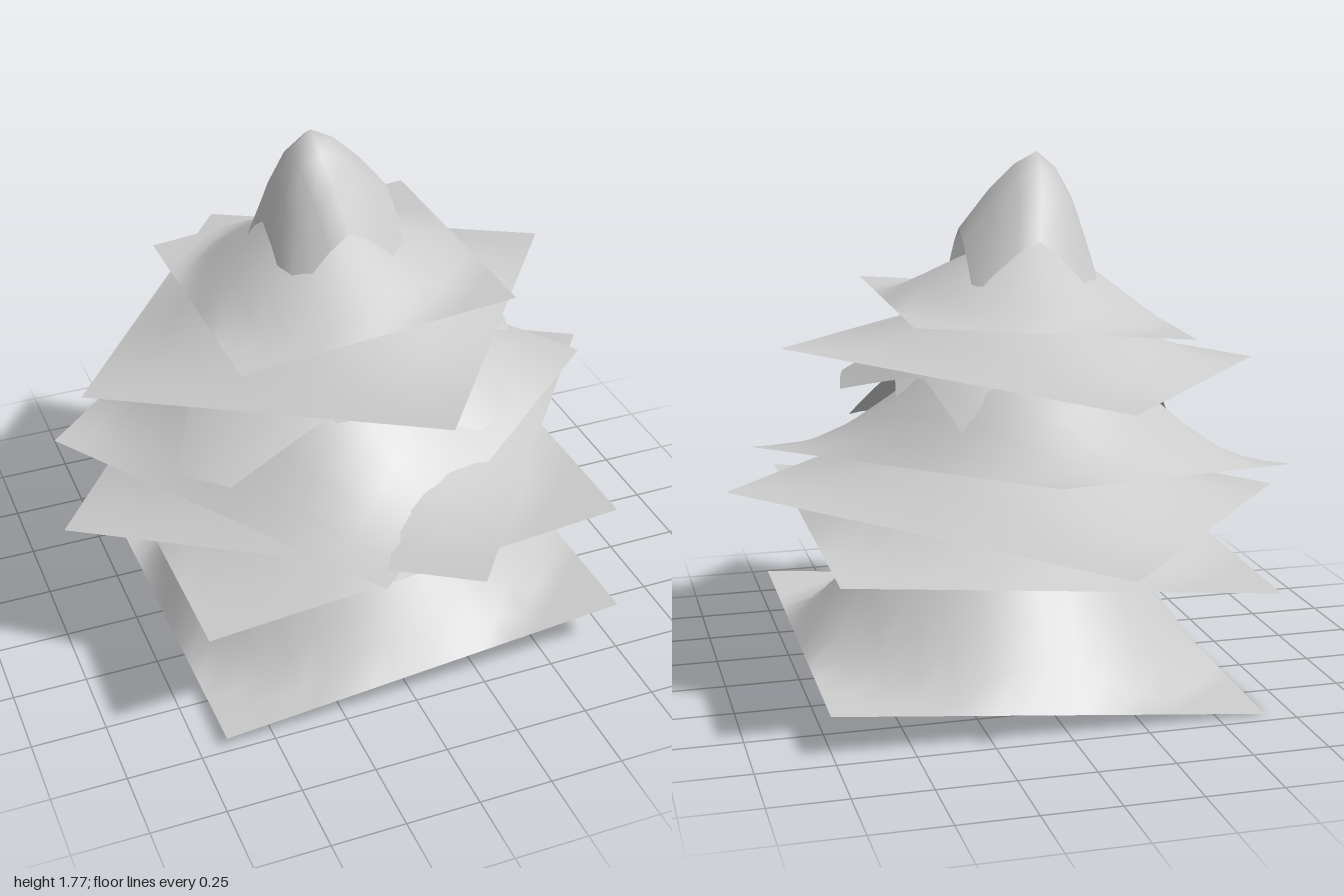
import * as THREE from 'three';

const material = new THREE.MeshStandardMaterial({ color: 0xcccccc, side: THREE.DoubleSide });

// Four-cornered sheet: corners run left/front, front/right, right/back, back/left.
// lift(u, v) is the height added at each point, with u and v from -1 to 1.
// lean shifts the middle along x and z, cut blunts the corners, pinch draws the edges in.
function sheet(name, corners, segments, lift, { lean = [0, 0], cut = 0, pinch = 0 } = {}) {
  const [a, b, c, d] = corners.map((p) => new THREE.Vector3(...p));
  const centre = new THREE.Vector3().add(a).add(b).add(c).add(d).divideScalar(4);
  const geometry = new THREE.PlaneGeometry(2, 2, segments, segments).rotateX(-Math.PI / 2);
  const pos = geometry.attributes.position;
  const front = new THREE.Vector3(), back = new THREE.Vector3();
  for (let i = 0; i < pos.count; i++) {
    let u = pos.getX(i), v = pos.getZ(i);
    const over = Math.max(0, Math.abs(u) + Math.abs(v) - 2 + cut) / 2;
    u -= Math.sign(u) * over;
    v -= Math.sign(v) * over;
    front.lerpVectors(a, b, (u + 1) / 2);
    back.lerpVectors(d, c, (u + 1) / 2);
    const p = back.lerp(front, (v + 1) / 2).lerp(centre, pinch * (1 - Math.abs(u * v)));
    const middle = (1 - u * u) * (1 - v * v);
    pos.setXYZ(i, p.x + lean[0] * middle, p.y + lift(u, v), p.z + lean[1] * middle);
  }
  geometry.computeVertexNormals();
  const mesh = new THREE.Mesh(geometry, material);
  mesh.name = name;
  return mesh;
}

// Smooth hump, zero along the edges
const hump = (u, v, power) => Math.pow(Math.max(0, (1 - u * u) * (1 - v * v)), power);

// Branch layers: a soft dome or a straight-sided cone with flat corners
const dome = (height) => (u, v) => height * hump(u, v, 1.45);
const cone = (height) => (u, v) => height * Math.max(0, 1 - Math.hypot(u, v));

// Draped cloth: edges arch up between hanging corners, the middle rises further
const drape = (arch, height, power, tip) => (u, v) =>
  arch * (1 - Math.pow(Math.abs(u * v), 1.3))
  + height * hump(u, v, power)
  + tip * Math.max(0, 1 - 1.6 * Math.hypot(u, v));

export function createModel() {
  const tree = new THREE.Group();
  tree.name = 'tree';

  // Tilted branch layers, from the ground up
  const layers = [
    ['bottomBranches', cone(0.82), [-0.04, 0], [[-0.66, 0.04, 0.735], [0.755, 0.165, 0.725], [0.755, 0.135, -0.695], [-0.66, 0, -0.695]]],
    ['secondBranches', cone(0.32), [0, 0], [[-0.7, 0.45, 0.72], [0.72, 0.575, 0.72], [0.72, 0.545, -0.71], [-0.7, 0.41, -0.71]]],
    ['thirdBranches', dome(0.24), [0, 0], [[-1, 0.54, 0.12], [0.11, 0.66, 1], [0.99, 0.71, -0.13], [-0.12, 0.585, -1]]],
    ['fourthBranches', dome(0.45), [0, -0.04], [[-0.945, 0.69, -0.18], [-0.17, 0.62, 0.875], [0.88, 0.8, 0.1], [0.1, 0.87, -0.945]]],
    ['fifthBranches', dome(0.19), [0, 0], [[-0.9, 1.02, 0.09], [0.06, 1.13, 0.835], [0.8, 1.17, -0.12], [-0.15, 1.06, -0.87]]],
    ['topBranches', cone(0.28), [-0.03, 0], [[-0.485, 1.225, 0.46], [0.435, 1.305, 0.46], [0.435, 1.28, -0.47], [-0.485, 1.2, -0.47]]],
  ];
  for (const [name, lift, lean, corners] of layers) tree.add(sheet(name, corners, 14, lift, { lean }));

  // Two draped skirts under the fifth layer, turned against each other
  const flaps = { cut: 0.3, pinch: 0.2 };
  const lowerSkirt = [[-0.74, 0.67, 0.43], [0.55, 0.72, 0.5], [0.46, 0.8, -0.4], [-0.46, 0.75, -0.4]];
  tree.add(sheet('lowerDrapedBranches', lowerSkirt, 20, drape(0.28, 0.16, 1, 0), flaps));
  const upperSkirt = [[-0.63, 0.9, -0.19], [-0.12, 0.91, 0.63], [0.7, 0.95, 0.16], [0.18, 0.74, -0.74]];
  tree.add(sheet('upperDrapedBranches', upperSkirt, 20, drape(0.22, 0.18, 1, 0), flaps));

  // Draped cap with a peak leaning to one side
  const cap = [[-0.24, 1.28, 0.21], [0.18, 1.32, 0.21], [0.19, 1.33, -0.23], [-0.25, 1.27, -0.23]];
  tree.add(sheet('treeTop', cap, 6, drape(0.2, 0.22, 0.9, 0.05), { lean: [-0.05, 0] }));

  return tree;
}
